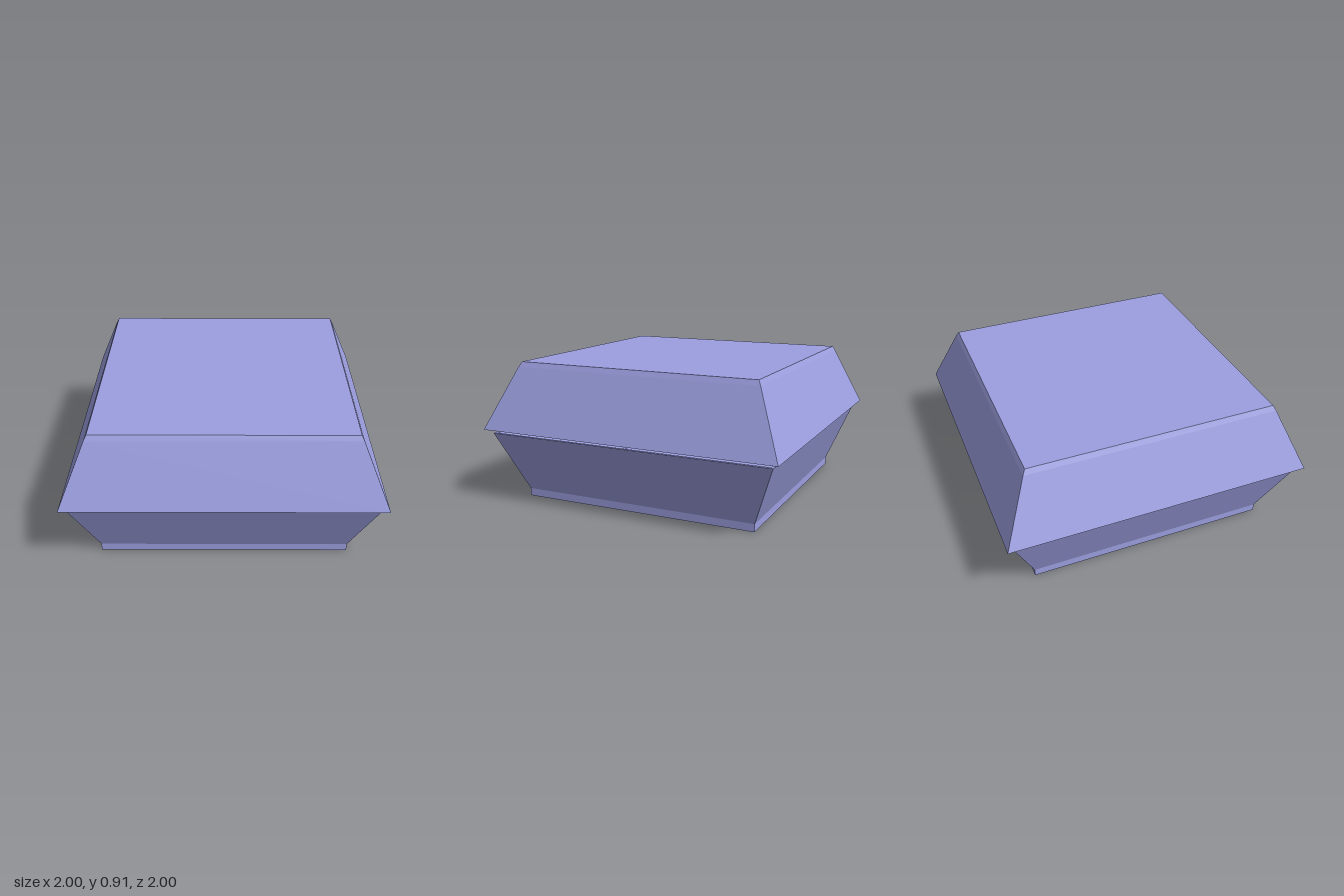
import * as THREE from 'three';

const material = new THREE.MeshStandardMaterial({ color: 0x9c9fe0, flatShading: true });

// Square shell: profile points are [half width, height], swept around four sides.
function squareShell(name, profile) {
  const points = profile.map(([w, y]) => new THREE.Vector2(w * Math.SQRT2, y));
  const geometry = new THREE.LatheGeometry(points, 4, Math.PI / 4).toNonIndexed();
  geometry.computeVertexNormals();
  const mesh = new THREE.Mesh(geometry, material);
  mesh.name = name;
  return mesh;
}

// Tapered tab under the front lip of the lid, sloping back towards the tray.
function createTab() {
  const shape = new THREE.Shape([
    new THREE.Vector2(-0.19, 0.45),
    new THREE.Vector2(0.19, 0.45),
    new THREE.Vector2(0.26, 0.473),
    new THREE.Vector2(-0.26, 0.473),
  ]);
  const geometry = new THREE.ExtrudeGeometry(shape, { depth: 0.03, bevelEnabled: false });
  const p = geometry.attributes.position;
  for (let i = 0; i < p.count; i++) {
    p.setZ(i, p.getZ(i) + 0.915 + (p.getY(i) - 0.45) * 1.7);
  }
  geometry.computeVertexNormals();
  const mesh = new THREE.Mesh(geometry, material);
  mesh.name = 'closingTab';
  return mesh;
}

export function createModel() {
  const group = new THREE.Group();
  group.name = 'takeawayBox';

  // Tray: short upright foot, flared walls, thin rim and hollow inside
  group.add(squareShell('tray', [
    [0, 0], [0.8, 0], [0.8, 0.05], [0.957, 0.45],
    [0.937, 0.45], [0.78, 0.05], [0.78, 0.02], [0, 0.02],
  ]));

  // Lid: hollow inside, undercut lip, sloping walls and a small chamfer at the top
  group.add(squareShell('lid', [
    [0, 0.89], [0.795, 0.89], [0.81, 0.87], [0.95, 0.463],
    [1, 0.478], [0.83, 0.877], [0.813, 0.91], [0, 0.91],
  ]));

  group.add(createTab());
  return group;
}
